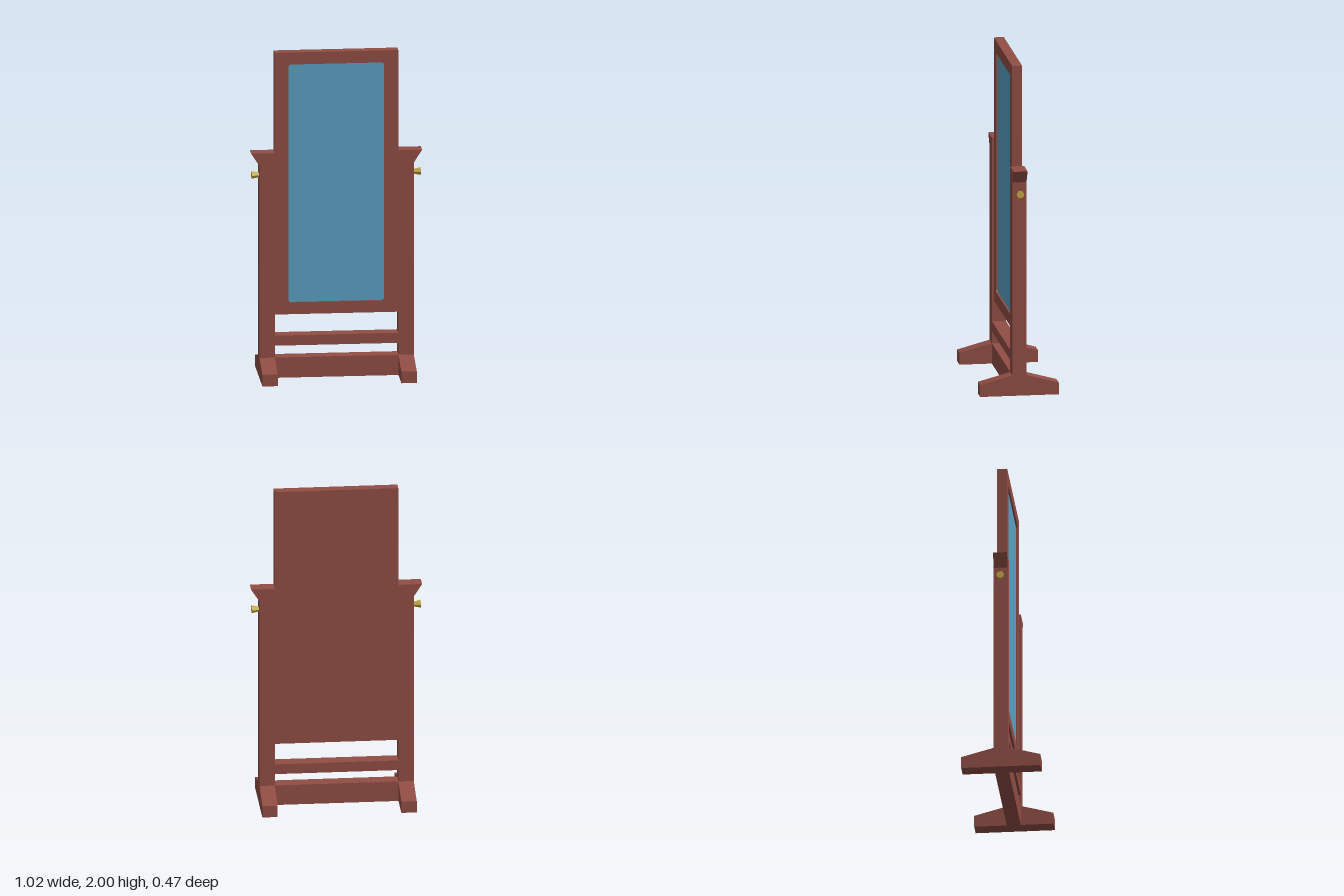
import * as THREE from 'three';

const wood = new THREE.MeshStandardMaterial({ name: 'red wood', color: 0x914d45, flatShading: true });
const glass = new THREE.MeshStandardMaterial({ name: 'blue glass', color: 0x5aa2c5 });
const brass = new THREE.MeshStandardMaterial({ name: 'brass', color: 0xc4a843, flatShading: true });

const POST_IN = 0.37, POST_OUT = 0.462, HALF_DEPTH = 0.042, FOOT_TOP = 0.125;
const FRAME_DEPTH = 0.03, FRAME_BOTTOM = 0.387, GLASS_Z = 0.02;

function polygon(points) {
  return new THREE.Shape(points.map(([x, y]) => new THREE.Vector2(x, y)));
}

// Extrusion centred on its own depth
function slab(shape, depth) {
  return new THREE.ExtrudeGeometry(shape, { depth, bevelEnabled: false }).translate(0, 0, -depth / 2);
}

function add(parent, name, geometry, material) {
  const mesh = new THREE.Mesh(geometry, material);
  mesh.name = name;
  parent.add(mesh);
  return mesh;
}

// Rectangle with small cut corners
function cutRect(w, y0, y1, c) {
  return [[-w + c, y0], [w - c, y0], [w, y0 + c], [w, y1 - c],
    [w - c, y1], [-w + c, y1], [-w, y1 - c], [-w, y0 + c]];
}

// Post with flared cap, sloped foot and pivot knob
function makeSide(name) {
  const side = new THREE.Group();
  side.name = name;
  const post = polygon([[POST_IN, FOOT_TOP], [POST_OUT, FOOT_TOP], [POST_OUT, 1.308],
    [0.512, 1.385], [POST_IN, 1.385]]);
  add(side, 'post', slab(post, HALF_DEPTH * 2), wood);

  const foot = polygon([[-0.237, 0], [0.237, 0], [0.237, 0.072], [HALF_DEPTH, FOOT_TOP],
    [-HALF_DEPTH, FOOT_TOP], [-0.237, 0.072]]);
  const footGeometry = slab(foot, POST_OUT - POST_IN).rotateY(Math.PI / 2);
  add(side, 'foot', footGeometry.translate((POST_IN + POST_OUT) / 2, 0, 0), wood);

  const knob = new THREE.CylinderGeometry(0.024, 0.013, 0.05, 6).rotateZ(-Math.PI / 2);
  add(side, 'knob', knob.translate(0.481, 1.243, 0), brass);
  return side;
}

export function createModel() {
  const model = new THREE.Group();
  model.name = 'standingMirror';

  // Stand
  model.add(makeSide('leftSide'));
  const right = makeSide('rightSide');
  right.rotation.y = Math.PI;
  model.add(right);
  for (const [name, y0, y1] of [['baseBeam', 0, FOOT_TOP], ['middleRail', 0.198, 0.26]]) {
    const rail = new THREE.BoxGeometry(POST_IN * 2, y1 - y0, HALF_DEPTH * 2);
    add(model, name, rail.translate(0, (y0 + y1) / 2, 0), wood);
  }

  // Mirror: front rim with an opening, solid back, recessed glass
  const mirror = new THREE.Group();
  mirror.name = 'mirror';
  model.add(mirror);
  const rim = polygon(cutRect(0.37, FRAME_BOTTOM, 2, 0));
  const opening = cutRect(0.286, 0.46, 1.926, 0.009);
  rim.holes.push(new THREE.Path(opening.map(([x, y]) => new THREE.Vector2(x, y))));
  const rimDepth = 0.016, backDepth = FRAME_DEPTH * 2 - rimDepth;
  add(mirror, 'frameRim', slab(rim, rimDepth).translate(0, 0, FRAME_DEPTH - rimDepth / 2), wood);
  const back = new THREE.BoxGeometry(0.74, 2 - FRAME_BOTTOM, backDepth);
  add(mirror, 'frameBack', back.translate(0, (2 + FRAME_BOTTOM) / 2, -FRAME_DEPTH + backDepth / 2), wood);
  add(mirror, 'glass', slab(polygon(opening), 0.006).translate(0, 0, GLASS_Z - 0.003), glass);

  return model;
}
